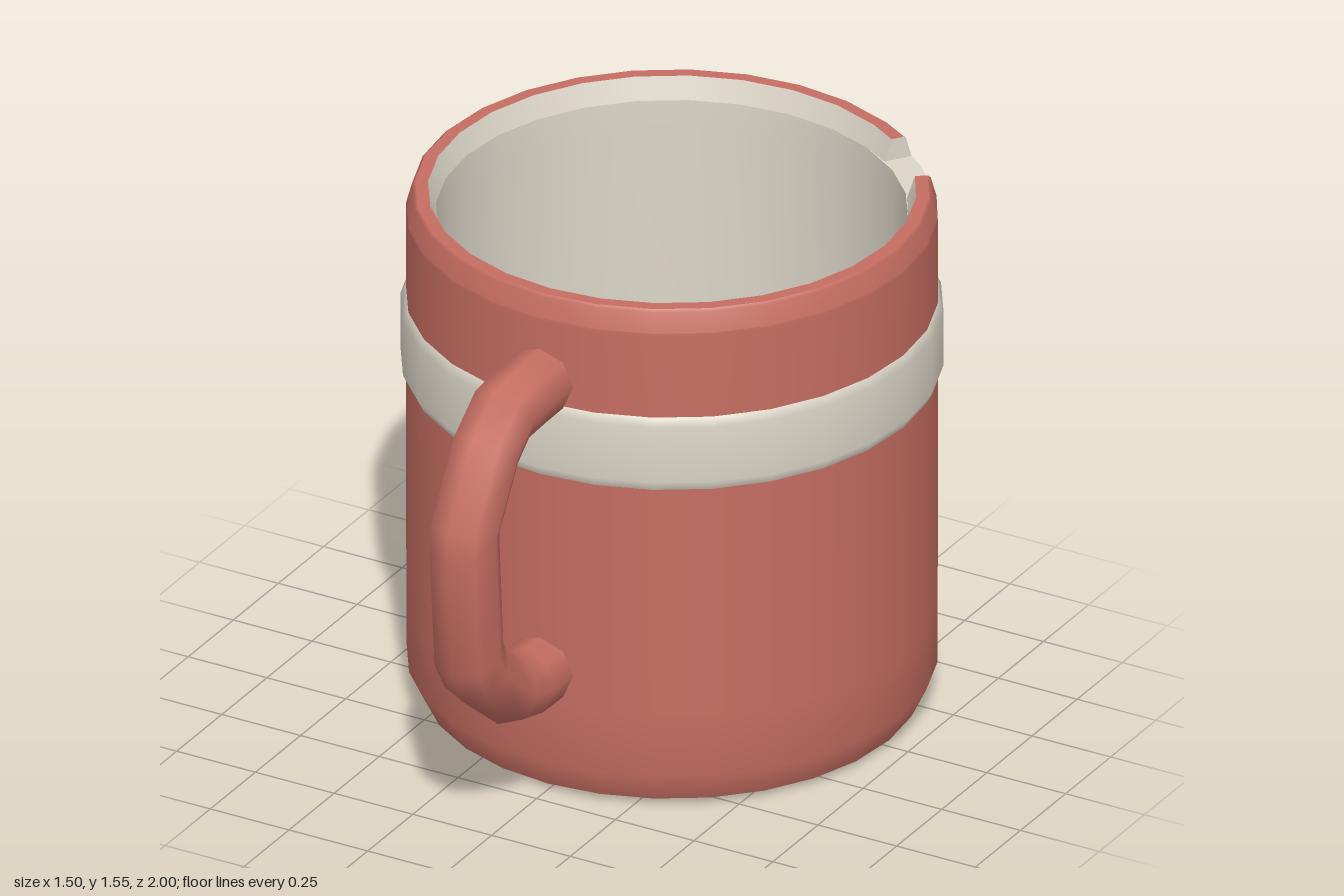
import * as THREE from 'three';

const SIDES = 28;
const STEP = 360 / SIDES;
const rad = THREE.MathUtils.degToRad;

export function createModel() {
  const model = new THREE.Group();
  model.name = 'mug';
  const red = new THREE.MeshStandardMaterial({ color: 0xc66e62 });
  red.name = 'terracotta glaze';
  const cream = new THREE.MeshStandardMaterial({ color: 0xdcd6c8, side: THREE.DoubleSide });
  cream.name = 'cream glaze';

  // The cup stands behind the centre, the handle reaches to the front
  const cup = new THREE.Group();
  cup.name = 'cup';
  cup.position.z = -0.25;
  model.add(cup);

  // Turned part: [radius, height] profile over arcs of [start, end, segments] in degrees
  function turn(name, material, profile, arcs = [[0, 360, SIDES]]) {
    const points = profile.map(([r, y]) => new THREE.Vector2(r, y));
    for (const [from, to, segments] of arcs) {
      const geometry = new THREE.LatheGeometry(points, segments, rad(from), rad(to - from));
      const mesh = new THREE.Mesh(geometry, material);
      mesh.name = name;
      cup.add(mesh);
    }
  }

  // The rim is broken by a small chip at the back left
  const chipStart = 126.5, chipEnd = 145.8, chipY = 1.49, topY = 1.555;
  const rimArcs = [
    [chipEnd, 12 * STEP, 1],
    [12 * STEP, 360 + 9 * STEP, 25],
    [9 * STEP, chipStart, 1],
  ];
  const chipArcs = [[chipStart, 10 * STEP, 1], [10 * STEP, 11 * STEP, 1], [11 * STEP, chipEnd, 1]];

  // Outside of the cup, from the recessed base up to the chip's floor
  turn('base', red, [[0, 0.03], [0.59, 0.03]]);
  turn('baseRecess', red, [[0.59, 0.03], [0.64, 0]]);
  turn('foot', red, [[0.64, 0], [0.69, 0.02]]);
  turn('lowerBody', red, [[0.69, 0.02], [0.733, 0.11], [0.734, 0.3], [0.735, 1.005]]);
  turn('band', cream, [[0.735, 1.005], [0.75, 1.035], [0.75, 1.205], [0.735, 1.23]]);
  turn('upperBody', red, [[0.735, 1.23], [0.735, 1.48], [0.734, chipY]]);

  // Inside of the cup
  turn('innerWall', cream, [[0.652, chipY], [0.65, 1.4], [0.65, 0.16], [0.63, 0.11], [0.59, 0.09]]);
  turn('innerFloor', cream, [[0.59, 0.09], [0, 0.09]]);

  // Rim
  turn('rimOuter', red, [[0.734, chipY], [0.718, 1.548], [0.71, topY]], rimArcs);
  turn('rimTop', red, [[0.71, topY], [0.674, topY]], rimArcs);
  turn('rimInner', cream, [[0.674, topY], [0.652, chipY]], rimArcs);

  // Bare clay in the chip: floor and two end walls
  turn('chipFloor', cream, [[0.734, chipY], [0.652, chipY]], chipArcs);
  const section = new THREE.Shape([
    [0.652, chipY], [0.734, chipY], [0.718, 1.548], [0.71, topY], [0.674, topY],
  ].map(([r, y]) => new THREE.Vector2(r, y)));
  for (const angle of [chipStart, chipEnd]) {
    const wall = new THREE.Mesh(new THREE.ShapeGeometry(section), cream);
    wall.name = 'chipWall';
    wall.rotation.y = rad(angle - 90);
    cup.add(wall);
  }

  // Handle: eight-sided tube with one ring at each [z, y] point
  const path = [
    [0.45, 1.295], [0.57, 1.294], [0.69, 1.285], [0.78, 1.215], [0.897, 1.02], [0.9, 0.965],
    [0.875, 0.62], [0.835, 0.555], [0.67, 0.42], [0.58, 0.398], [0.45, 0.395],
  ].map(([z, y]) => new THREE.Vector3(0, y, z));
  const curve = new THREE.Curve();
  curve.getPoint = (t) => {
    const f = t * (path.length - 1);
    const i = Math.min(Math.floor(f + 1e-6), path.length - 2);
    return path[i].clone().lerp(path[i + 1], f - i);
  };
  curve.getPointAt = curve.getPoint;
  curve.getTangentAt = (t) => {
    const i = Math.round(t * (path.length - 1));
    const before = path[Math.max(i - 1, 0)], here = path[i];
    const after = path[Math.min(i + 1, path.length - 1)];
    const into = here.clone().sub(before).normalize();
    return after.clone().sub(here).normalize().add(into).normalize();
  };
  const handle = new THREE.Mesh(new THREE.TubeGeometry(curve, path.length - 1, 0.1, 8), red);
  handle.name = 'handle';
  model.add(handle);

  return model;
}
